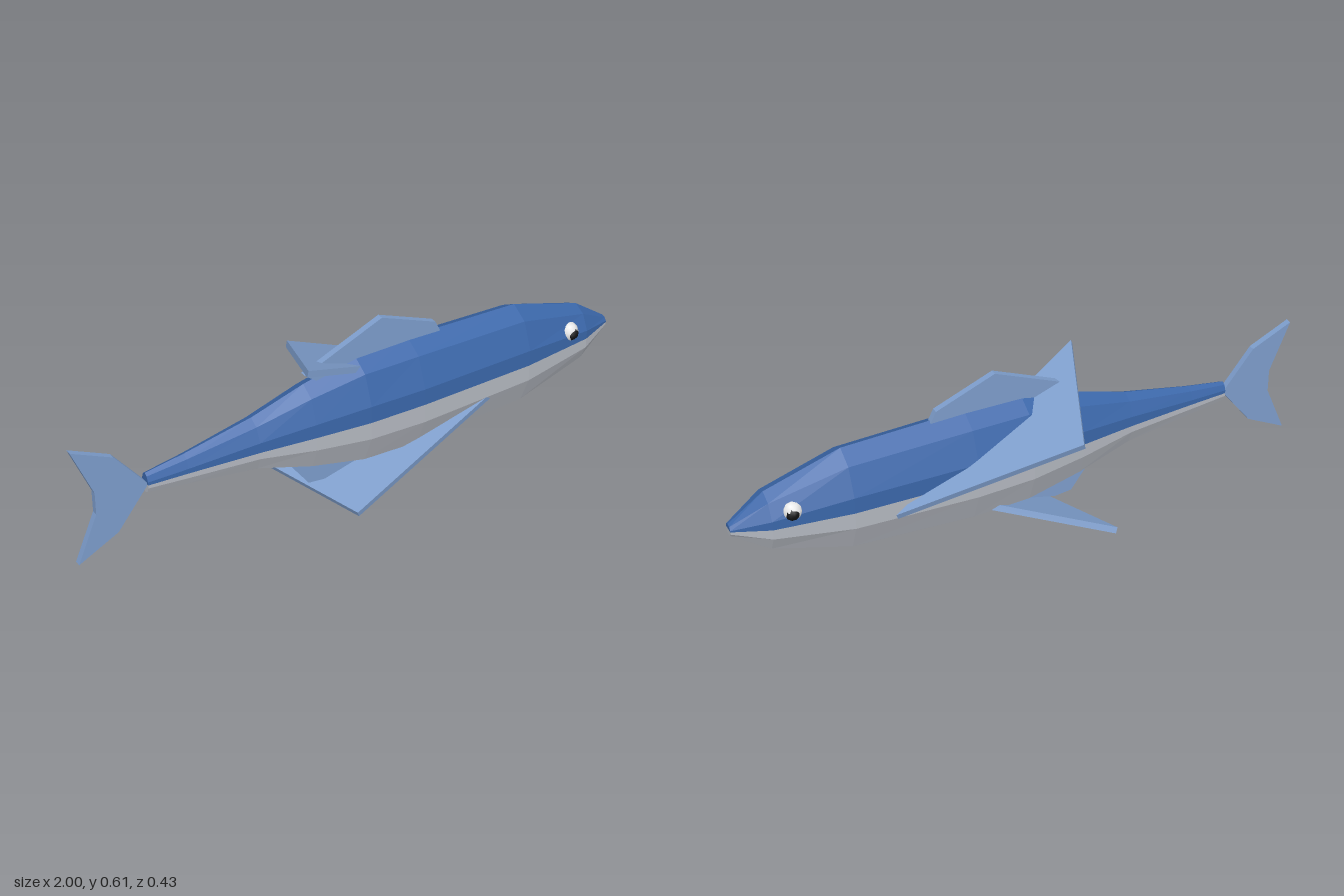
import * as THREE from 'three';

const MID_Z = 0.05; // the body's centre plane
const SPLIT_Y = 0.3; // height of the colour line
const PLATE = 0.0215; // fin thickness

// Body stations: x, centre height, half height, half width before faceting
const STATIONS = [
  [-0.755, 0.3, 0.036, 0.02],
  [-0.62, 0.3, 0.056, 0.032],
  [-0.38, 0.306, 0.096, 0.057],
  [-0.19, 0.301, 0.158, 0.084],
  [0, 0.299, 0.201, 0.107],
  [0.2, 0.296, 0.205, 0.113],
  [0.62, 0.299, 0.187, 0.105],
  [0.88, 0.298, 0.106, 0.072],
  [1, 0.298, 0.021, 0.021],
];

function flatGeometry(triangles) {
  const g = new THREE.BufferGeometry().setFromPoints(triangles);
  g.computeVertexNormals();
  return g;
}

// Half of a ten-sided ring, with its two ends cut at the colour line
function halfRing([x, cy, ry, rz], start) {
  const point = (deg, onLine) => {
    const a = THREE.MathUtils.degToRad(deg);
    return new THREE.Vector3(x, onLine ? SPLIT_Y : cy + ry * Math.sin(a), MID_Z + rz * Math.cos(a));
  };
  const ring = [point(start + 18, true)];
  for (let d = 18; d <= 162; d += 36) ring.push(point(start + d, false));
  ring.push(point(start + 162, true));
  return ring;
}

function bodyHalf(start) {
  const rings = STATIONS.map((s) => halfRing(s, start));
  const tris = [];
  for (let i = 0; i < rings.length - 1; i++) {
    const a = rings[i], b = rings[i + 1];
    for (let j = 0; j < a.length - 1; j++) {
      tris.push(a[j], b[j], b[j + 1], a[j], b[j + 1], a[j + 1]);
    }
  }
  // End caps at the tail root and snout
  const tail = rings[0], nose = rings[rings.length - 1];
  for (let j = 1; j < tail.length - 1; j++) {
    tris.push(tail[0], tail[j], tail[j + 1]);
    tris.push(nose[0], nose[j + 1], nose[j]);
  }
  return flatGeometry(tris);
}

// Upright fin cut from a sheet in the centre plane
function uprightFin(points) {
  const shape = new THREE.Shape(points.map(([x, y]) => new THREE.Vector2(x, y)));
  const g = new THREE.ExtrudeGeometry(shape, { depth: PLATE, bevelEnabled: false });
  return g.translate(0, 0, MID_Z - PLATE / 2);
}

// Tilted triangular fin: upper face given, thickness added below it
function triangularFin(corners) {
  let top = corners.map((c) => new THREE.Vector3(...c));
  const n = new THREE.Triangle(...top).getNormal(new THREE.Vector3());
  if (n.y < 0) {
    top = top.reverse();
    n.negate();
  }
  const low = top.map((p) => p.clone().addScaledVector(n, -PLATE));
  const tris = [...top, low[2], low[1], low[0]];
  for (let i = 0; i < 3; i++) {
    const k = (i + 1) % 3;
    tris.push(top[i], low[i], low[k], top[i], low[k], top[k]);
  }
  return flatGeometry(tris);
}

export function createModel() {
  const model = new THREE.Group();
  model.name = 'fish';
  const material = (name, color) => {
    const m = new THREE.MeshStandardMaterial({ color });
    m.name = name;
    return m;
  };
  const blue = material('back blue', 0x3a66a8);
  const grey = material('belly grey', 0xb2b6be);
  const finBlue = material('fin blue', 0x7c9cca);
  const white = material('eye white', 0xf0f0f0);
  const black = material('pupil black', 0x141414);

  const add = (name, geometry, mat, parent = model) => {
    const mesh = new THREE.Mesh(geometry, mat);
    mesh.name = name;
    parent.add(mesh);
    return mesh;
  };

  // Two-tone body
  add('upperBody', bodyHalf(0), blue);
  add('belly', bodyHalf(180), grey);

  // Upright fins
  add('tailFin', uprightFin([
    [-0.75, 0.3], [-0.86, 0.44], [-1, 0.507], [-0.93, 0.335],
    [-0.93, 0.255], [-1, 0.09], [-0.86, 0.16],
  ]), finBlue);
  add('dorsalFin', uprightFin([
    [0.33, 0.47], [0.3, 0.53], [0.095, 0.613], [-0.19, 0.495], [-0.12, 0.44],
  ]), finBlue);
  add('ventralFin', uprightFin([
    [-0.26, 0.19], [-0.18, 0.08], [-0.12, 0.073], [0.03, 0.11],
  ]), finBlue);

  // Side fins, sweeping back through the body
  add('rightSideFin', triangularFin([
    [-0.235, 0.583, 0.158], [-0.09, 0.443, -0.215], [0.49, 0.262, -0.066],
  ]), finBlue);
  add('leftSideFin', triangularFin([
    [-0.235, 0.055, -0.185], [-0.09, 0.02, 0.213], [0.475, 0.25, 0.15],
  ]), finBlue);

  // Eyes
  for (const side of [1, -1]) {
    const eye = new THREE.Group();
    eye.name = side > 0 ? 'leftEye' : 'rightEye';
    add('eyeball', new THREE.IcosahedronGeometry(0.034, 1), white, eye)
      .position.set(0.81, 0.347, MID_Z + side * 0.056);
    add('pupil', new THREE.IcosahedronGeometry(0.025, 1), black, eye)
      .position.set(0.813, 0.345, MID_Z + side * 0.068);
    model.add(eye);
  }
  return model;
}
